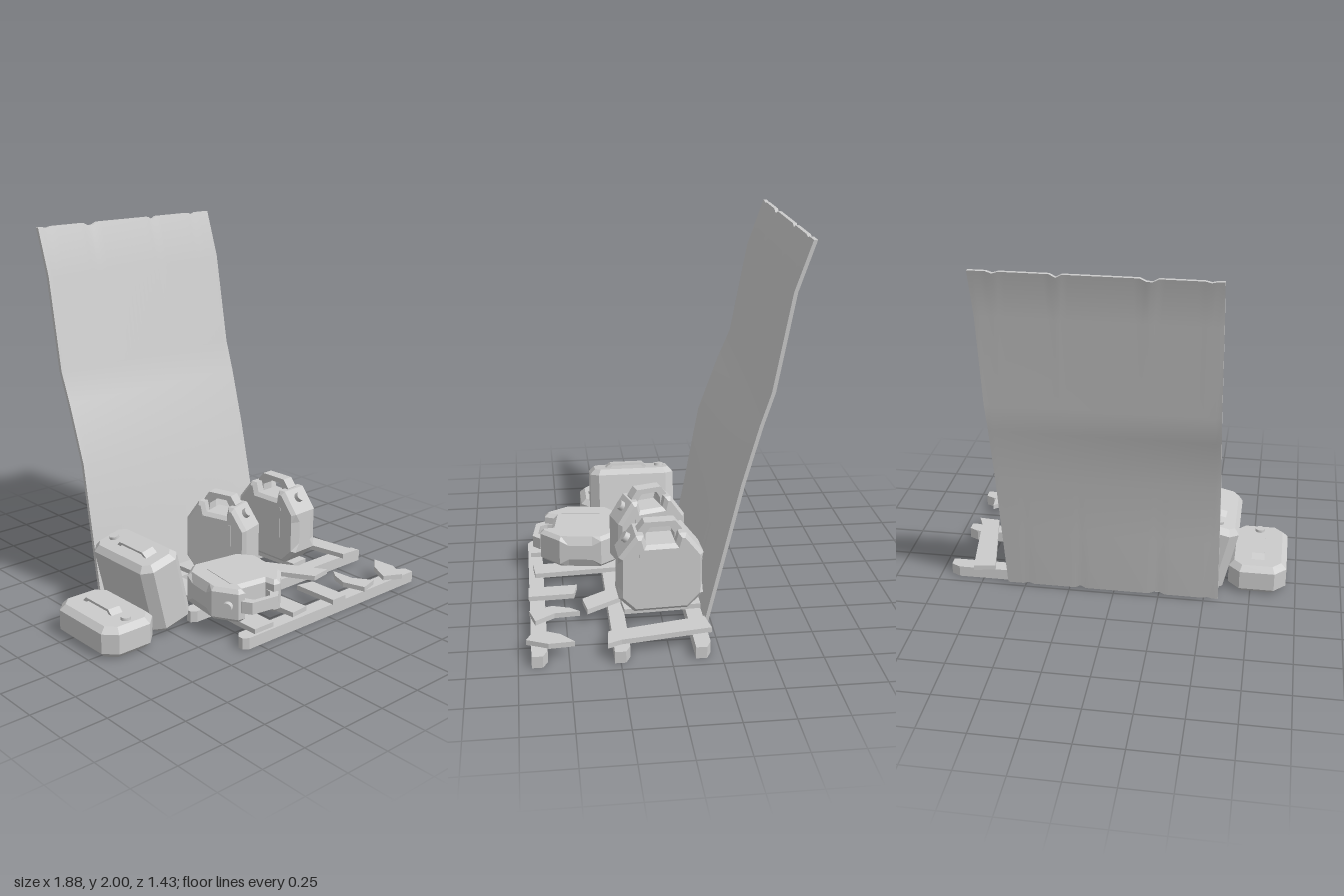
import * as THREE from 'three';

const grey = new THREE.MeshStandardMaterial({ color: 0xcccccc });

function add(parent, name, geometry, x = 0, y = 0, z = 0) {
  const mesh = new THREE.Mesh(geometry, grey);
  mesh.name = name;
  mesh.position.set(x, y, z);
  parent.add(mesh);
  return mesh;
}

const polygon = (pts) => new THREE.Shape(pts.map(([x, y]) => new THREE.Vector2(x, y)));

// Bevelled extrusion whose outline and total depth stay exact, starting at z = 0
function bevelled(shape, depth, bevel) {
  const g = new THREE.ExtrudeGeometry(shape, {
    depth: depth - 2 * bevel, bevelThickness: bevel, bevelSize: bevel,
    bevelOffset: -bevel, bevelSegments: 1, curveSegments: 4,
  });
  return g.translate(0, 0, bevel);
}

// Flat plate from a plan outline given as [x, z] corners
function plate(pts, y, height) {
  const g = new THREE.ExtrudeGeometry(polygon(pts.map(([x, z]) => [x, -z])), { depth: height, bevelEnabled: false });
  return g.rotateX(-Math.PI / 2).translate(0, y, 0);
}

// Slim upright can: side outline extruded across its thickness, cap towards +z
function slimCan(name, thick, pinched) {
  const can = new THREE.Group();
  can.name = name;
  const half = [[0.14, 0], [0.22, 0.08], [0.22, 0.13], [0.22, 0.26], [0.22, 0.31], [0.13, 0.425], [0.09, 0.425], [0.075, 0.37]];
  const outline = [...half, ...half.map(([u, v]) => [-u, v]).reverse()];
  const body = bevelled(polygon(outline), thick, 0.02).translate(0, 0, -thick / 2);
  if (pinched) {
    // narrow the end edges at mid height
    const p = body.attributes.position;
    for (let i = 0; i < p.count; i++) {
      if (Math.abs(p.getX(i)) > 0.21 && p.getY(i) > 0.1 && p.getY(i) < 0.29) p.setZ(i, p.getZ(i) * 0.6);
    }
    body.computeVertexNormals();
  }
  add(can, 'canBody', body.rotateY(-Math.PI / 2));

  // open grip on top
  const grip = polygon([[-0.115, 0.36], [0.115, 0.36], [0.115, 0.43], [0.08, 0.475], [-0.08, 0.475], [-0.115, 0.43]]);
  grip.holes.push(polygon([[-0.075, 0.365], [-0.075, 0.41], [-0.05, 0.447], [0.05, 0.447], [0.075, 0.41], [0.075, 0.365]]));
  add(can, 'canHandle', new THREE.ExtrudeGeometry(grip, { depth: 0.065, bevelEnabled: false })
    .translate(0, 0, -0.0325).rotateY(-Math.PI / 2));

  const cap = add(can, 'canCap', new THREE.CylinderGeometry(0.026, 0.028, 0.04, 16), 0, 0.385, 0.17);
  cap.rotation.x = 0.92;
  for (const s of [-1, 1]) add(can, 'canRib', new THREE.BoxGeometry(0.006, 0.22, 0.012), s * thick / 2, 0.22, 0.11);
  return can;
}

// Wide can: eight-sided plan, raised grip and cap on top
function wideCan(name, w, h, l) {
  const can = new THREE.Group();
  can.name = name;
  const x = w / 2, z = l / 2, c = w * 0.2;
  const plan = polygon([[x - c, -z], [x, c - z], [x, z - c], [x - c, z], [c - x, z], [-x, z - c], [-x, c - z], [c - x, -z]]);
  add(can, 'canBody', bevelled(plan, h, 0.03).rotateX(-Math.PI / 2));
  const arch = polygon([[-0.14, -0.01], [-0.1, 0.025], [0.09, 0.025], [0.13, -0.01], [0.1, -0.01], [0.08, 0.012], [-0.09, 0.012], [-0.11, -0.01]]);
  add(can, 'canHandle', new THREE.ExtrudeGeometry(arch, { depth: 0.07, bevelEnabled: false })
    .translate(0, 0, -0.035).rotateY(-Math.PI / 2), 0, h, -0.02);
  add(can, 'canCap', new THREE.CylinderGeometry(0.026, 0.028, 0.03, 16), 0, h, z - 0.075);
  return can;
}

// Leaning sheet: a box bent along its height, with nicked top and bottom edges
function sheetGeometry() {
  const profile = [[0.01, -0.225], [0.4, -0.315], [0.77, -0.4], [1.08, -0.485], [1.25, -0.54], [1.75, -0.63], [2, -0.715]];
  const bulge = [0, 0.02, 0.04, 0.015, 0, 0, 0];
  const nicks = { 2: 0.007, 11: 0.016, 12: 0.014, 26: 0.016, 36: 0.01 };
  const g = new THREE.BoxGeometry(1.18, 2, 0.02, 40, 6, 1);
  const p = g.attributes.position;
  for (let i = 0; i < p.count; i++) {
    const row = Math.round((p.getY(i) + 1) * 3);
    const col = Math.round((p.getX(i) / 1.18 + 0.5) * 40);
    const nick = row === 6 ? -(nicks[col] || 0) : row === 0 ? nicks[col] || 0 : 0;
    const [y, z] = profile[row];
    p.setXYZ(i, p.getX(i) + 0.01, y + nick, z + p.getZ(i) + bulge[row] * (1 - col / 40));
  }
  g.computeVertexNormals();
  return g;
}

export function createModel() {
  const model = new THREE.Group();
  model.name = 'cansAndPallet';
  add(model, 'leaningSheet', sheetGeometry());

  // Broken pallet
  const pallet = new THREE.Group();
  pallet.name = 'pallet';
  model.add(pallet);
  for (const z of [-0.16, 0.24, 0.645]) {
    add(pallet, 'palletRail', plate([[-0.35, z - 0.01], [-0.32, z - 0.04], [0.89, z - 0.04], [0.94, z - 0.015],
      [0.94, z + 0.04], [-0.32, z + 0.04], [-0.35, z + 0.02]], 0, 0.062));
  }
  const slats = [
    [[-0.27, -0.2], [-0.14, -0.2], [-0.14, 0.67], [-0.27, 0.67]],
    [[-0.05, -0.22], [0.06, -0.22], [0.12, 0.65], [0.01, 0.66]],
    [[0.18, 0.01], [0.27, -0.06], [0.55, 0.39], [0.43, 0.41]],
    [[0.43, -0.2], [0.55, -0.2], [0.57, 0.2], [0.46, 0.21]],
    [[0.68, -0.2], [0.8, -0.22], [0.87, 0.24], [0.9, 0.31], [0.78, 0.3]],
    [[0.27, 0.43], [0.37, 0.45], [0.38, 0.69], [0.28, 0.69]],
    [[0.49, 0.57], [0.52, 0.48], [0.56, 0.43], [0.57, 0.56], [0.64, 0.66], [0.53, 0.69]],
    [[0.72, 0.66], [0.78, 0.54], [0.86, 0.47], [0.87, 0.6], [0.82, 0.71]],
  ];
  for (const s of slats) add(pallet, 'palletSlat', plate(s, 0.06, 0.028));

  // Two cans standing on the pallet
  const middle = slimCan('middleCan', 0.17, false);
  middle.position.set(0.08, 0.088, 0.03);
  middle.rotation.y = 0.28;
  middle.scale.z = 0.88;
  const leftCan = slimCan('leftCan', 0.19, true);
  leftCan.position.set(0.51, 0.088, 0.015);
  leftCan.rotation.y = 0.05;

  // One can lying flat, grip towards the front
  const lying = slimCan('lyingCan', 0.18, true);
  const up = new THREE.Vector3(-0.139, 0, 0.99).normalize();
  const down = new THREE.Vector3(0, -1, 0);
  const side = new THREE.Vector3().crossVectors(down, up);
  lying.quaternion.setFromRotationMatrix(new THREE.Matrix4().makeBasis(down, up, side));
  lying.position.set(-0.11, 0.183, 0.175);

  // Wide cans on the ground, one tipped against the pallet
  const low = wideCan('lowCan', 0.32, 0.165, 0.49);
  low.position.set(-0.785, 0, 0.105);
  const tipped = wideCan('tippedCan', 0.245, 0.4, 0.49);
  tipped.position.set(-0.47, 0.035, 0.06);
  tipped.rotation.set(0, Math.PI, -0.235);

  model.add(middle, leftCan, lying, low, tipped);
  return model;
}
